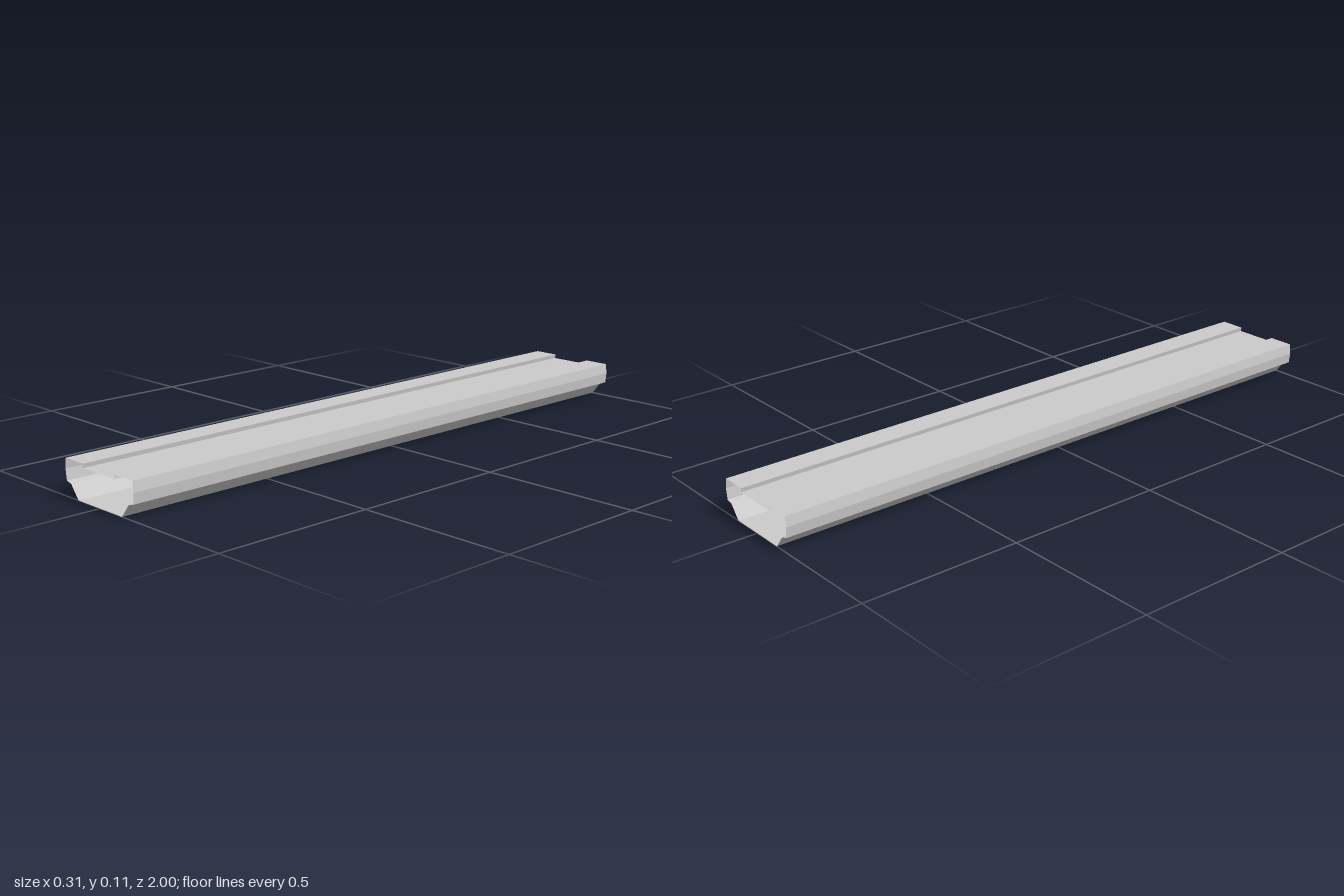
import * as THREE from 'three';

const HALF_LENGTH = 1;

// Right half of the cross-section, from the bottom up to the recessed top panel
const half = [
  [0.1, 0],        // floor edge
  [0.132, 0.04],   // top of sloped flank
  [0.152, 0.045],  // ledge
  [0.156, 0.078],  // slightly bowed side wall
  [0.152, 0.11],   // top corner
  [0.07, 0.11],    // inner edge of lip
  [0.072, 0.097],  // recessed panel
];

// Sweeps a closed, counter-clockwise outline along z as flat strips, open at both ends
function sweepShell(outline) {
  const pos = [];
  outline.forEach(([ax, ay], i) => {
    const [bx, by] = outline[(i + 1) % outline.length];
    const h = HALF_LENGTH;
    pos.push(ax, ay, h, ax, ay, -h, bx, by, -h);
    pos.push(ax, ay, h, bx, by, -h, bx, by, h);
  });
  const geo = new THREE.BufferGeometry();
  geo.setAttribute('position', new THREE.Float32BufferAttribute(pos, 3));
  geo.computeVertexNormals();
  return geo;
}

export function createModel() {
  const group = new THREE.Group();
  group.name = 'hollowRail';

  // Thin sheet shell, mirrored about x = 0
  const mirrored = half.map(([x, y]) => [-x, y]).reverse();
  const material = new THREE.MeshStandardMaterial({
    color: 0xcccccc, flatShading: true, side: THREE.DoubleSide,
  });
  const shell = new THREE.Mesh(sweepShell([...half, ...mirrored]), material);
  shell.name = 'railShell';
  group.add(shell);
  return group;
}
